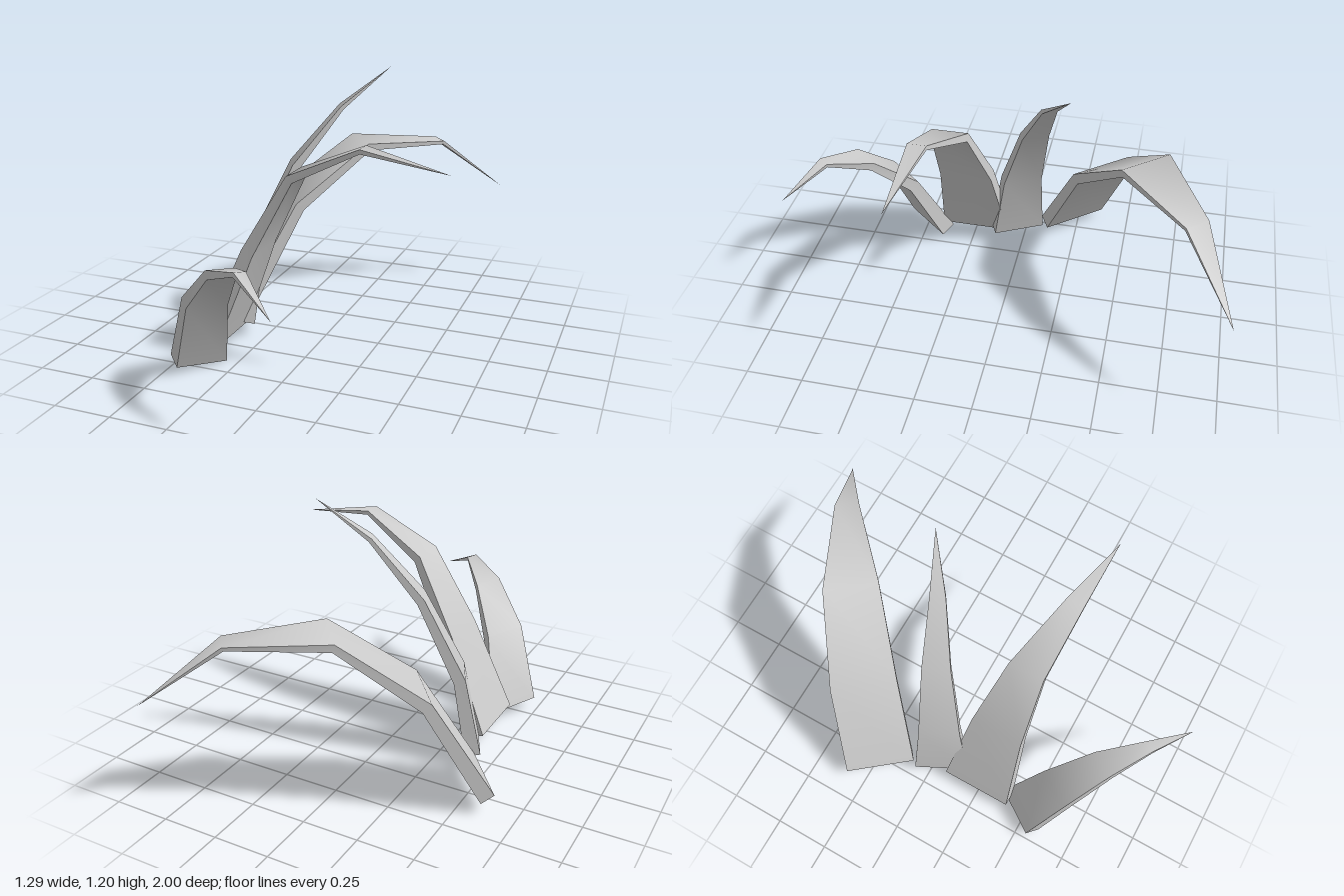
import * as THREE from 'three';

const material = new THREE.MeshStandardMaterial({ color: 0xcccccc });

// Each blade: centre line of its upper surface, full width vector at the root,
// relative width per ring, and root thickness.
const blades = [
  {
    name: 'broadBackBlade',
    path: [[-0.55, 0.085, -0.205], [-0.345, 0.525, -0.37], [-0.05, 0.79, -0.583], [0.29, 0.768, -0.818], [0.575, 0.505, -1]],
    side: [0.2, 0, 0.25], widths: [1, 0.93, 0.76, 0.34, 0], thickness: 0.066,
  },
  {
    name: 'tallUprightBlade',
    path: [[-0.415, 0.075, 0.05], [-0.35, 0.42, 0.015], [-0.195, 0.78, -0.075], [0, 1.035, -0.17], [0.195, 1.2, -0.285]],
    side: [0.11, 0, 0.22], widths: [1, 0.75, 0.5, 0.27, 0], thickness: 0.07,
  },
  {
    name: 'longSideBlade',
    path: [[-0.42, 0.08, 0.243], [-0.24, 0.5, 0.243], [-0.04, 0.835, 0.265], [0.275, 0.975, 0.315], [0.64, 0.905, 0.35]],
    side: [0, 0, 0.325], widths: [1, 0.75, 0.5, 0.25, 0], thickness: 0.075,
  },
  {
    name: 'shortFrontBlade',
    path: [[-0.422, 0.05, 0.455], [-0.31, 0.37, 0.575], [-0.155, 0.552, 0.712], [0, 0.613, 0.855], [0.185, 0.505, 0.995]],
    side: [-0.135, 0.03, 0.19], widths: [1, 0.8, 0.54, 0.22, 0], thickness: 0.075,
  },
];

// Rectangular rings along the path, shrinking to a point
function bladeRings({ path, side, widths, thickness }) {
  const points = path.map((p) => new THREE.Vector3(...p));
  const across = new THREE.Vector3(...side);
  const last = points.length - 1;
  return points.map((p, i) => {
    const tangent = points[Math.min(i + 1, last)].clone().sub(points[Math.max(i - 1, 0)]);
    const down = tangent.cross(across).normalize().multiplyScalar(thickness * (1 - i / last));
    const left = p.clone().addScaledVector(across, -widths[i] / 2);
    const right = p.clone().addScaledVector(across, widths[i] / 2);
    return [left, right, right.clone().add(down), left.clone().add(down)];
  });
}

// Four strips, smooth along the length and sharp at the long edges, plus a root cap
function bladeGeometry(blade) {
  const rings = bladeRings(blade);
  const positions = [];
  const index = [];
  for (let k = 0; k < 4; k++) {
    const start = positions.length / 3;
    rings.forEach((ring, i) => {
      positions.push(...ring[k].toArray(), ...ring[(k + 1) % 4].toArray());
      if (i === rings.length - 1) return;
      const a = start + 2 * i;
      index.push(a, a + 1, a + 2);
      if (i < rings.length - 2) index.push(a + 1, a + 3, a + 2);
    });
    // both corners of the last pair meet at the tip
  }
  const cap = positions.length / 3;
  rings[0].forEach((v) => positions.push(...v.toArray()));
  index.push(cap, cap + 3, cap + 2, cap, cap + 2, cap + 1);

  const geometry = new THREE.BufferGeometry();
  geometry.setAttribute('position', new THREE.Float32BufferAttribute(positions, 3));
  geometry.setIndex(index);
  geometry.computeVertexNormals();
  return geometry;
}

export function createModel() {
  const group = new THREE.Group();
  group.name = 'grassTuft';
  for (const blade of blades) {
    const mesh = new THREE.Mesh(bladeGeometry(blade), material);
    mesh.name = blade.name;
    group.add(mesh);
  }
  return group;
}
